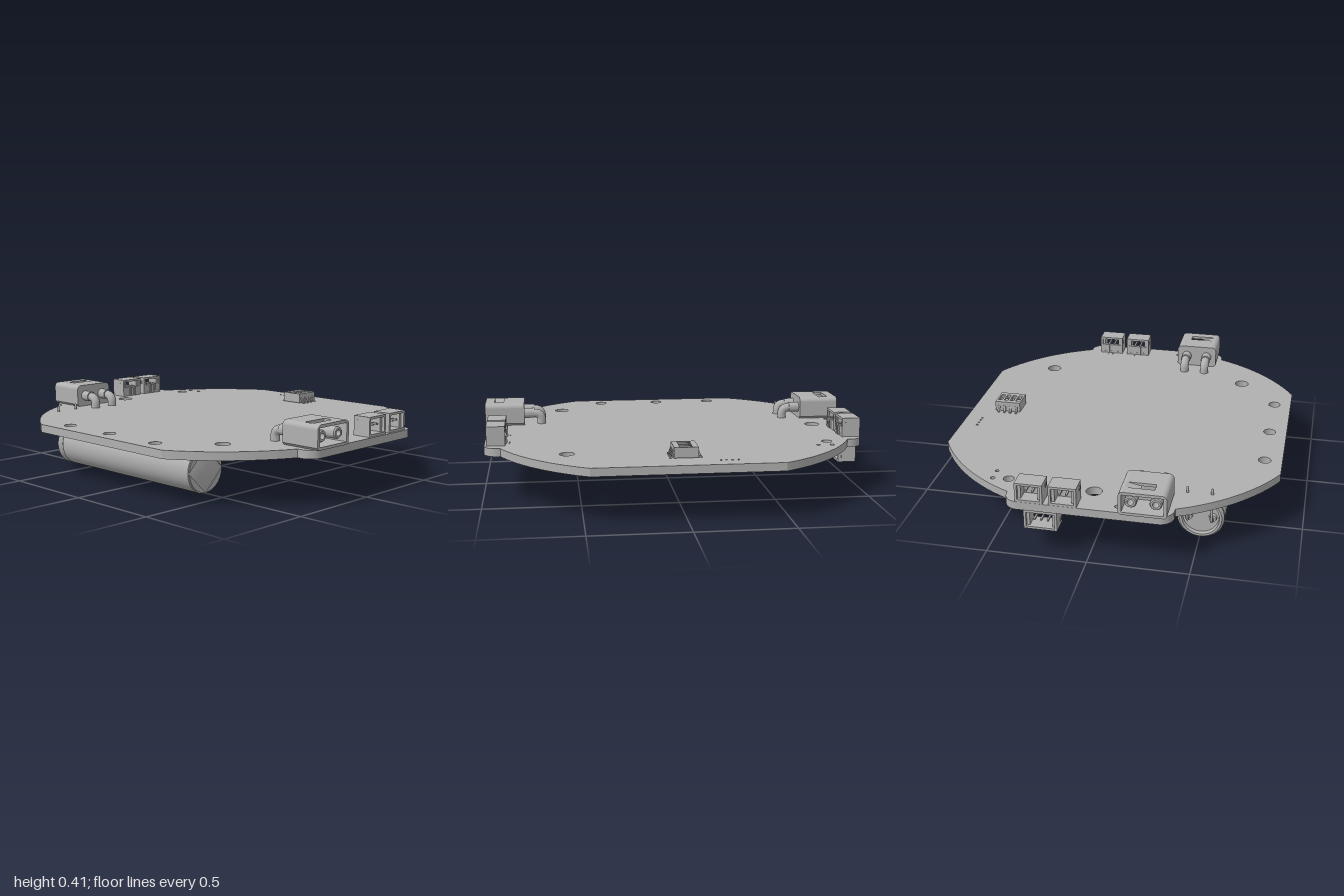
import * as THREE from 'three';
import { toCreasedNormals } from 'three/addons/utils/BufferGeometryUtils.js';

const grey = new THREE.MeshStandardMaterial({ color: 0xb0b0b0 });
grey.name = 'plain grey';

const BOARD_Y = 0.246, BOARD_T = 0.042, TOP = BOARD_Y + BOARD_T;

function add(parent, name, geo, x = 0, y = 0, z = 0) {
  const m = new THREE.Mesh(geo, grey);
  m.name = name;
  m.position.set(x, y, z);
  parent.add(m);
  return m;
}
const box = (p, name, w, h, d, x, y, z) => add(p, name, new THREE.BoxGeometry(w, h, d), x, y, z);
const extrude = (shape, depth) =>
  new THREE.ExtrudeGeometry(shape, { depth, bevelEnabled: false, curveSegments: 10 });
// turned part whose axis lies along z
const lathe = (pts, seg = 24) => toCreasedNormals(
  new THREE.LatheGeometry(pts.map(p => new THREE.Vector2(...p)), seg).rotateX(Math.PI / 2), 0.5);
// bent wire through points, rounded at the corners
function wire(pts, r) {
  const v = pts.map(p => new THREE.Vector3(...p)), path = new THREE.CurvePath();
  let from = v[0];
  for (let i = 1; i < v.length - 1; i++) {
    const bend = 0.04;
    const a = v[i].clone().add(v[i - 1].clone().sub(v[i]).setLength(bend));
    const b = v[i].clone().add(v[i + 1].clone().sub(v[i]).setLength(bend));
    path.add(new THREE.LineCurve3(from, a));
    path.add(new THREE.QuadraticBezierCurve3(a, v[i], b));
    from = b;
  }
  path.add(new THREE.LineCurve3(from, v[v.length - 1]));
  return new THREE.TubeGeometry(path, 40, r, 14);
}
function rectPath(x0, y0, x1, y1) {
  const p = new THREE.Path();
  p.moveTo(x0, y0).lineTo(x0, y1).lineTo(x1, y1).lineTo(x1, y0).closePath();
  return p;
}

// circuit board: disc with cut sides and a rounded tab at each end
function board() {
  const s = new THREE.Shape(), R = 0.989, a = Math.atan2(0.47, 0.87), b = Math.atan2(0.9, 0.41), P = Math.PI;
  s.moveTo(0.87, -0.47);
  s.absarc(0, 0, R, a, b);
  s.absarc(0.34, 0.915, 0.07, 0, P / 2);
  s.absarc(-0.34, 0.915, 0.07, P / 2, P);
  s.absarc(0, 0, R, P - b, P - a);
  s.absarc(0, 0, R, P + a, P + b);
  s.absarc(-0.34, -0.915, 0.07, P, P * 1.5);
  s.absarc(0.34, -0.915, 0.07, P * 1.5, P * 2);
  s.absarc(0, 0, R, -b, -a);
  const holes = [ // x, z, radius
    [0, -0.815, 0.04], [-0.57, 0.57, 0.038], [0.57, 0.57, 0.038],
    [-0.78, -0.34, 0.032], [-0.78, -0.02, 0.032], [-0.78, 0.323, 0.032],
    [0.44, -0.78, 0.027], [0.52, -0.787, 0.012], [0.52, -0.715, 0.01],
    [-0.138, -0.932, 0.012], [-0.398, -0.932, 0.012], [-0.138, 0.925, 0.012], [-0.398, 0.925, 0.012],
    ...[-0.25, -0.22, -0.19, -0.165].map(z => [0.783, z, 0.006]),
    ...[0.1, 0.13, 0.27, 0.3].map(x => [x, 0.857, 0.004]),
  ];
  for (const [x, z, r] of holes) {
    const h = new THREE.Path();
    h.absarc(x, -z, r, 0, P * 2, true);
    s.holes.push(h);
  }
  const g = new THREE.ExtrudeGeometry(s, { depth: BOARD_T, bevelEnabled: false, curveSegments: 24 });
  return g.rotateX(-P / 2);
}

// power connector, sitting on y = 0 and opening towards +z
function powerConnector() {
  const g = new THREE.Group(), W = 0.116, H = 0.121, r = 0.025, ix = 0.1, y0 = 0.014, y1 = 0.106;
  const outer = () => {
    const s = new THREE.Shape();
    s.moveTo(-W + 0.012, 0).lineTo(W - 0.012, 0).lineTo(W, 0.012);
    s.absarc(W - r, H - r, r, 0, Math.PI / 2);
    s.absarc(-W + r, H - r, r, Math.PI / 2, Math.PI);
    s.lineTo(-W, 0.012).closePath();
    return s;
  };
  const ring = outer();
  ring.holes.push(rectPath(-ix, y0, ix, y1));
  // section with a window through the top wall
  const open = new THREE.Shape();
  open.moveTo(-0.02, H);
  open.absarc(-W + r, H - r, r, Math.PI / 2, Math.PI);
  open.lineTo(-W, 0.012).lineTo(-W + 0.012, 0).lineTo(W - 0.012, 0).lineTo(W, 0.012);
  open.absarc(W - r, H - r, r, 0, Math.PI / 2);
  open.lineTo(0.05, H).lineTo(0.05, y1).lineTo(ix, y1).lineTo(ix, y0)
    .lineTo(-ix, y0).lineTo(-ix, y1).lineTo(-0.02, y1).closePath();
  add(g, 'connectorBack', extrude(outer(), 0.085), 0, 0, 0.785);
  add(g, 'connectorShell', extrude(ring, 0.03), 0, 0, 0.87);
  add(g, 'connectorWindowShell', extrude(open, 0.05), 0, 0, 0.9);
  add(g, 'connectorRim', extrude(ring, 0.05), 0, 0, 0.95);
  for (const x of [-0.06, 0.06]) {
    add(g, 'contactSocket', lathe([[0.03, 0.86], [0.03, 0.975], [0.025, 0.982], [0.015, 0.982], [0.015, 0.88], [0, 0.88]]), x, 0.06, 0);
    add(g, 'solderCollar', lathe([[0, 0.73], [0.028, 0.73], [0.028, 0.79]]), x, 0.06, 0);
    add(g, 'bentPin', wire([[x, 0.058, 0.74], [x, 0.058, 0.69], [x, -0.066, 0.69]], 0.024));
    add(g, 'pinEnd', new THREE.CylinderGeometry(0.024, 0.017, 0.007, 18), x, -0.0695, 0.69);
  }
  return g;
}

// small signal socket, centred on x and z, opening towards +z
function signalSocket(w, pins) {
  const g = new THREE.Group(), h = 0.1, d = 0.096, t = 0.012;
  const s = new THREE.Shape();
  s.moveTo(-w / 2, 0).lineTo(w / 2, 0).lineTo(w / 2, h).lineTo(-w / 2, h).closePath();
  s.holes.push(rectPath(-w / 2 + t, t, w / 2 - t, h - t));
  add(g, 'socketShell', extrude(s, d), 0, 0, -d / 2);
  box(g, 'socketBack', w - t, 0.045, 0.022, 0, 0.03, -d / 2 + 0.012);
  for (const k of [-1, 1]) {
    box(g, 'socketGuide', 0.018, h - t, d * 0.75, k * (w / 2 - t - 0.006), h / 2, -0.004);
    box(g, 'socketLatch', 0.008, 0.02, 0.02, k * (w / 2 - 0.002), h - 0.03, -0.02);
  }
  for (let i = 0; i < pins; i++) {
    const x = (i - (pins - 1) / 2) * 0.033;
    box(g, 'socketPin', 0.009, 0.009, 0.085, x, 0.055, -0.01);
    box(g, 'socketLeg', 0.009, 0.056, 0.008, x, 0.03, -d / 2 - 0.004);
  }
  return g;
}

// row of slide switches with gull-wing legs
function switchBlock() {
  const g = new THREE.Group(), s = new THREE.Shape(), n = 4, step = 0.033;
  s.moveTo(-0.07, -0.06).lineTo(0.07, -0.06).lineTo(0.07, 0.06).lineTo(-0.07, 0.06).closePath();
  for (let i = 0; i < n; i++) {
    const x = (i - 1.5) * step;
    s.holes.push(rectPath(x - 0.011, -0.032, x + 0.011, 0.032));
    box(g, 'slider', 0.016, 0.016, 0.02, x, 0.045, i % 2 ? 0.014 : -0.014);
    for (const k of [-1, 1]) {
      box(g, 'switchLeg', 0.012, 0.034, 0.007, x, 0.018, k * 0.066).rotation.x = -k * 0.3;
      box(g, 'switchFoot', 0.012, 0.005, 0.012, x, 0.003, k * 0.074);
    }
  }
  add(g, 'switchTop', extrude(s, 0.02).rotateX(-Math.PI / 2), 0, 0.037, 0);
  box(g, 'switchBase', 0.14, 0.034, 0.12, 0, 0.021, 0);
  return g;
}

// capacitor lying along z, with a scored cap in front and two leads behind
function capacitor() {
  const g = new THREE.Group(), r = 0.118;
  add(g, 'can', lathe([[0, -0.662], [0.09, -0.662], [0.094, -0.682], [0.106, -0.682], [r, -0.668], [r, -0.652],
    [0.109, -0.638], [r, -0.624], [r, 0.38], [0.114, 0.382], [0, 0.382]], 48));
  const q = new THREE.Shape(), e = 0.004, R = 0.112, a = Math.asin(e / R);
  q.moveTo(e, e);
  q.absarc(0, 0, R, a, Math.PI / 2 - a);
  q.closePath();
  for (let i = 0; i < 4; i++)
    add(g, 'scoredCap', extrude(q, 0.006), 0, 0, 0.381).rotation.z = i * Math.PI / 2;
  for (const x of [-0.06, 0.06]) {
    add(g, 'leadBase', lathe([[0, -0.68], [0.018, -0.68], [0.022, -0.655]], 16), x, 0, 0);
    add(g, 'lead', wire([[x, 0, -0.66], [x, 0, -0.733], [x, 0.195, -0.733]], 0.0065));
    add(g, 'leadTip', new THREE.SphereGeometry(0.0065, 10, 6), x, 0.195, -0.733);
  }
  return g;
}

export function createModel() {
  const model = new THREE.Group();
  model.name = 'circuitBoardAssembly';
  const place = (name, g, x, y, z, turn = 0, roll = 0) => {
    g.name = name;
    g.position.set(x, y, z);
    g.rotation.set(0, turn, roll);
    model.add(g);
  };
  add(model, 'board', board(), 0, BOARD_Y, 0);
  place('frontPowerConnector', powerConnector(), -0.27, TOP, 0);
  place('rearPowerConnector', powerConnector(), -0.27, TOP, 0, Math.PI);
  for (const x of [0.115, 0.28]) {
    place('frontSignalSocket', signalSocket(0.136, 2), x, TOP, 0.925);
    place('rearSignalSocket', signalSocket(0.136, 2), x, TOP, -0.936, Math.PI);
  }
  place('undersideSocket', signalSocket(0.165, 3), 0.228, BOARD_Y - 0.004, -0.93, Math.PI, Math.PI);
  place('switchBlock', switchBlock(), 0.668, TOP, -0.002);
  place('capacitor', capacitor(), -0.503, 0.118, 0);
  return model;
}
